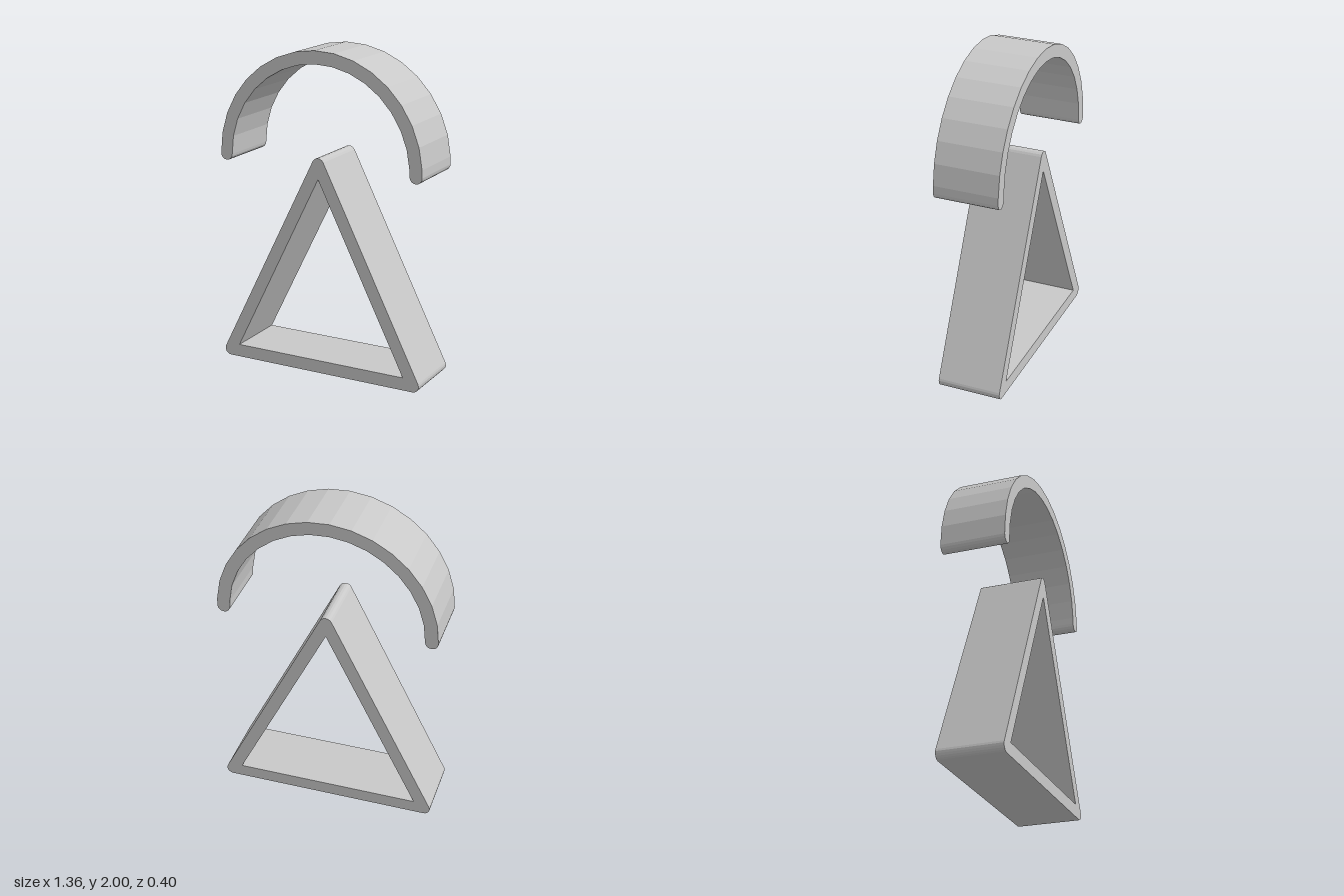
import * as THREE from 'three';

const R = 0.04;      // half the wall thickness, also the corner radius
const DEPTH = 0.4;
const RAD = Math.PI / 180;

// points on a circular arc, angles in degrees
function arc(cx, cy, r, from, to, steps) {
  return Array.from({ length: steps + 1 }, (_, i) => {
    const a = (from + (to - from) * i / steps) * RAD;
    return new THREE.Vector2(cx + r * Math.cos(a), cy + r * Math.sin(a));
  });
}

function extrude(shape, material, name) {
  const geometry = new THREE.ExtrudeGeometry(shape, { depth: DEPTH, bevelEnabled: false });
  geometry.translate(0, 0, -DEPTH / 2);
  const mesh = new THREE.Mesh(geometry, material);
  mesh.name = name;
  return mesh;
}

export function createModel() {
  const group = new THREE.Group();
  group.name = 'triangleAndArch';
  const grey = new THREE.MeshStandardMaterial({ color: 0xc8c8c8, flatShading: true });
  grey.name = 'light grey';

  // triangular frame: rounded outside corners, sharp opening
  const slant = Math.atan2(1.28, 0.64) / RAD;
  const normal = 90 - slant;
  const frame = new THREE.Shape([
    ...arc(0.64, 0.04, R, -90, normal, 6),
    ...arc(0, 1.32, R, normal, 180 - normal, 6),
    ...arc(-0.64, 0.04, R, 180 - normal, 270, 6),
  ]);
  const apex = 1.32 - R * Math.sqrt(5);
  const foot = (apex - 2 * R) / 2;
  frame.holes.push(new THREE.Path([
    new THREE.Vector2(-foot, 2 * R),
    new THREE.Vector2(0, apex),
    new THREE.Vector2(foot, 2 * R),
  ]));
  group.add(extrude(frame, grey, 'triangleFrame'));

  // arch: 11 degree facets starting at -x, closing with a short one at +x
  const cy = 1.32, mid = 0.64;
  const angles = [];
  for (let a = 180; a > 0; a -= 11) angles.push(a);
  angles.push(0);
  const curve = (r) => angles.map((a) =>
    new THREE.Vector2(r * Math.cos(a * RAD), cy + r * Math.sin(a * RAD)));
  const arch = new THREE.Shape([
    ...curve(mid + R),
    ...arc(mid, cy, R, 0, -180, 8).slice(1, -1),   // rounded end at +x
    ...curve(mid - R).reverse(),
    ...arc(-mid, cy, R, 0, -180, 8).slice(1, -1),  // rounded end at -x
  ]);
  group.add(extrude(arch, grey, 'arch'));

  return group;
}
